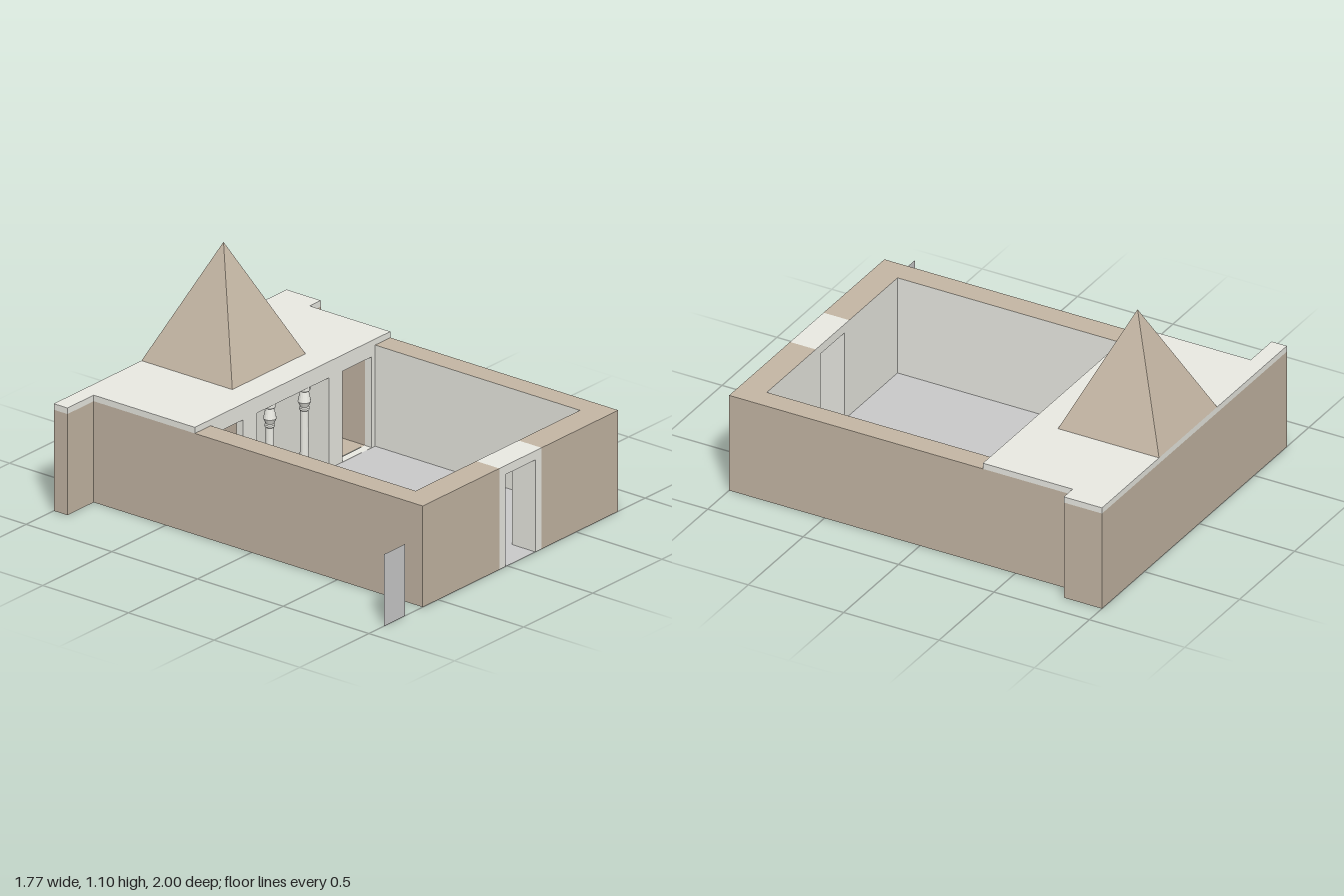
import * as THREE from 'three';

const mat = (color) => new THREE.MeshStandardMaterial({ color, side: THREE.DoubleSide });

export function createModel() {
  const model = new THREE.Group();
  const tan = mat(0xc5b7a5), stone = mat(0xebebe4), grey = mat(0xcccccc);

  const add = (name, geometry, material, parent = model) => {
    const mesh = new THREE.Mesh(geometry, material);
    mesh.name = name;
    parent.add(mesh);
    return mesh;
  };

  // Thin sheets square to one axis; ranges are given in x, y, z order without that axis
  const sheetX = (name, m, x, y0, y1, z0, z1) =>
    add(name, new THREE.PlaneGeometry(z1 - z0, y1 - y0).rotateY(Math.PI / 2)
      .translate(x, (y0 + y1) / 2, (z0 + z1) / 2), m);
  const sheetY = (name, m, y, x0, x1, z0, z1) =>
    add(name, new THREE.PlaneGeometry(x1 - x0, z1 - z0).rotateX(-Math.PI / 2)
      .translate((x0 + x1) / 2, y, (z0 + z1) / 2), m);
  const sheetZ = (name, m, z, x0, x1, y0, y1) =>
    add(name, new THREE.PlaneGeometry(x1 - x0, y1 - y0)
      .translate((x0 + x1) / 2, (y0 + y1) / 2, z), m);

  const H = 0.5, doorH = 0.455;
  const outL = -0.61, outR = 0.805, inL = -0.495, inR = 0.695;
  const doorL = -0.01, doorR = 0.205, portalL = -0.055, portalR = 0.25;
  const inFront = 0.865, facadeZ = -0.33, mid = 0.1;

  // Outer walls: hollow shell, open underneath
  sheetX('sideWall', tan, outL, 0, H, -0.92, 1);
  sheetX('sideWall', tan, outR, 0, H, -0.8, 1);
  sheetZ('backWall', tan, -1, -0.8, 0.885, 0, H);
  sheetZ('frontWall', tan, 1, outL, portalL, 0, H);
  sheetZ('frontWall', tan, 1, portalR, outR, 0, H);
  // Rear corner stubs
  sheetX('rearStub', tan, 0.885, 0, H, -1, -0.8);
  sheetZ('rearStub', tan, -0.8, outR, 0.885, 0, H);
  sheetX('rearStub', tan, -0.8, 0, H, -1, -0.92);
  sheetZ('rearStub', tan, -0.92, -0.8, outL, 0, H);
  // Wall tops
  sheetY('wallTop', tan, H, outL, inL, facadeZ, 1);
  sheetY('wallTop', tan, H, inR, outR, facadeZ, 1);
  sheetY('wallTop', tan, H, inL, portalL, inFront, 1);
  sheetY('wallTop', tan, H, portalR, inR, inFront, 1);

  // Stone entrance portal
  sheetZ('portalJamb', stone, 1, portalL, doorL, 0, H);
  sheetZ('portalJamb', stone, 1, doorR, portalR, 0, H);
  sheetZ('portalLintel', stone, 1, doorL, doorR, doorH, H);
  sheetY('portalTop', stone, H, portalL, portalR, inFront, 1);
  sheetY('portalSoffit', stone, doorH, doorL, doorR, inFront, 1);
  for (const x of [doorL, doorR]) sheetX('portalReveal', stone, x, 0, doorH, inFront, 1);

  // Courtyard lining
  for (const x of [inL, inR]) sheetX('courtLining', stone, x, 0, H, facadeZ, inFront);
  sheetZ('courtLining', stone, inFront, inL, doorL, 0, H);
  sheetZ('courtLining', stone, inFront, doorR, inR, 0, H);
  sheetZ('courtLining', stone, inFront, doorL, doorR, doorH, H);

  // Floors of court, threshold and rear hall
  const hallL = mid - 0.26, hallR = mid + 0.26, hallBack = -0.75;
  sheetY('courtFloor', grey, 0, inL, inR, facadeZ, inFront);
  sheetY('threshold', grey, 0, doorL, doorR, inFront, 1);
  sheetY('hallFloor', grey, 0, hallL, hallR, hallBack, facadeZ);

  // Portico facade with a wide central bay and two side doorways
  const facade = new THREE.Shape([[inL, 0], [inR, 0], [inR, H], [inL, H]]
    .map(([x, y]) => new THREE.Vector2(x, y)));
  for (const [a, b] of [[-0.47, -0.26], [hallL, hallR], [0.46, 0.67]]) {
    facade.holes.push(new THREE.Path([[a, 0.001], [a, 0.45], [b, 0.45], [b, 0.001]]
      .map(([x, y]) => new THREE.Vector2(x, y))));
  }
  add('porticoFacade', new THREE.ExtrudeGeometry(facade, { depth: 0.04, bevelEnabled: false })
    .translate(0, 0, facadeZ - 0.04), stone);

  // Rear hall with a low plinth at its end
  for (const x of [hallL, hallR]) sheetX('hallWall', stone, x, 0, H, hallBack, -0.37);
  sheetZ('hallBackWall', stone, hallBack, hallL, hallR, 0, H);
  add('plinth', new THREE.BoxGeometry(0.18, 0.05, 0.12).translate(mid, 0.025, -0.8), stone);

  // Side chambers
  for (const s of [-1, 1]) {
    const a = mid + s * 0.27, b = mid + s * 0.57;
    const x0 = Math.min(a, b), x1 = Math.max(a, b);
    for (const x of [x0, x1]) sheetX('chamberWall', tan, x, 0, 0.47, -0.8, -0.37);
    sheetZ('chamberBack', tan, -0.8, x0, x1, 0, 0.47);
    sheetY('chamberFloor', tan, 0.002, x0, x1, -0.8, -0.37);
    sheetY('chamberCeiling', tan, 0.47, x0, x1, -0.8, -0.37);
  }

  // Columns with disc bases and bud capitals
  const profile = [[0, 0], [0.04, 0], [0.04, 0.02], [0.022, 0.025], [0.019, 0.33], [0.024, 0.335],
    [0.024, 0.345], [0.02, 0.35], [0.031, 0.375], [0.02, 0.425], [0.027, 0.43], [0.027, 0.45], [0, 0.45]]
    .map(([x, y]) => new THREE.Vector2(x, y));
  const columnMat = stone.clone();
  columnMat.flatShading = true;
  for (const x of [-0.03, 0.22]) {
    add('column', new THREE.LatheGeometry(profile, 16), columnMat).position.set(x, 0, -0.36);
  }

  // Roof slab following the rear plan
  const roof = new THREE.Shape([[-0.8, 1], [0.885, 1], [0.885, 0.8], [outR, 0.8],
    [outR, -facadeZ], [outL, -facadeZ], [outL, 0.92], [-0.8, 0.92]]
    .map(([x, z]) => new THREE.Vector2(x, z)));
  add('roofSlab', new THREE.ExtrudeGeometry(roof, { depth: 0.03, bevelEnabled: false })
    .rotateX(-Math.PI / 2).translate(0, H, 0), stone);

  // Pyramid on the roof
  const pyramidMat = tan.clone();
  pyramidMat.flatShading = true;
  add('pyramid', new THREE.ConeGeometry(0.265 * Math.SQRT2, 0.57, 4, 1).rotateY(Math.PI / 4)
    .translate(mid, 0.815, -0.735), pyramidMat);

  // Freestanding panel beside the front
  sheetZ('freePanel', grey, 1, -0.89, -0.74, 0, 0.355);

  return model;
}
